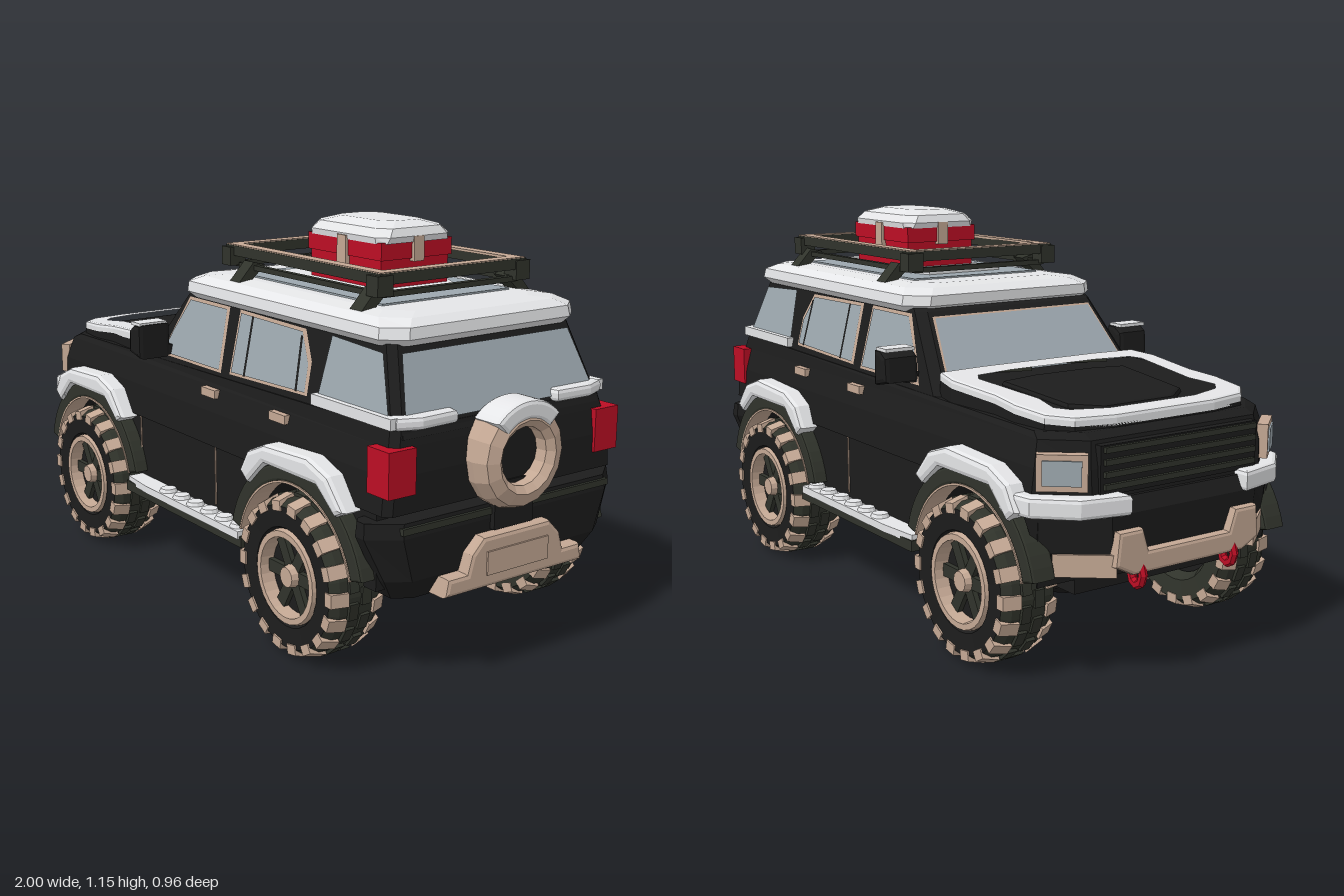
import * as THREE from 'three';

const M = (name, color, side = THREE.FrontSide) => {
  const m = new THREE.MeshStandardMaterial({ color, side });
  m.name = name;
  return m;
};
const black = M('black paint', 0x1c1c1c), olive = M('dark olive', 0x30332b), tan = M('tan trim', 0xc4a894);
const snow = M('snow', 0xebecee), glass = M('glass', 0x9ca7ae, THREE.DoubleSide), red = M('red', 0xbc0e24);

export function createModel() {
  const car = new THREE.Group();
  car.name = 'offRoader';

  // Facet a geometry and add it as a named mesh
  function add(name, geo, mat, parent = car) {
    const g = geo.index ? geo.toNonIndexed() : geo;
    g.computeVertexNormals();
    const mesh = new THREE.Mesh(g, mat);
    mesh.name = name;
    parent.add(mesh);
    return mesh;
  }
  // Add a part on the +z side and its mirror image on the -z side
  function both(name, geo, mat) {
    add(name + 'Left', geo, mat);
    const g = geo.index ? geo.toNonIndexed() : geo.clone();
    g.scale(1, 1, -1);
    const p = g.attributes.position;
    const a = new THREE.Vector3(), b = new THREE.Vector3();
    for (let i = 0; i < p.count; i += 3) {
      a.fromBufferAttribute(p, i + 1);
      b.fromBufferAttribute(p, i + 2);
      p.setXYZ(i + 1, b.x, b.y, b.z);
      p.setXYZ(i + 2, a.x, a.y, a.z);
    }
    add(name + 'Right', g, mat);
  }
  const box = (x0, x1, y0, y1, z0, z1) =>
    new THREE.BoxGeometry(x1 - x0, y1 - y0, z1 - z0).translate((x0 + x1) / 2, (y0 + y1) / 2, (z0 + z1) / 2);
  const shape = pts => new THREE.Shape(pts.map(p => new THREE.Vector2(p[0], p[1])));
  const extrude = (s, depth, bevel = 0) => new THREE.ExtrudeGeometry(s, {
    depth: depth - 2 * bevel, bevelEnabled: bevel > 0, bevelSize: bevel, bevelThickness: bevel,
    bevelOffset: -bevel, bevelSegments: 2, curveSegments: 12,
  }).translate(0, 0, bevel);
  // Extrusions of a side outline (x,y), a plan outline (x,z) and a cross outline (z,y)
  const sideExtrude = (s, z0, z1, bevel) => extrude(s, z1 - z0, bevel).translate(0, 0, z0);
  const planExtrude = (s, y0, y1, bevel) => extrude(s, y1 - y0, bevel).rotateX(Math.PI / 2).translate(0, y1, 0);
  const crossExtrude = (s, x0, x1, bevel) => extrude(s, x1 - x0, bevel).rotateY(Math.PI / 2).translate(x0, 0, 0);
  // Eight-cornered plan ring; yr is the height at the rear end
  const ring = (y, a, b, w, fx, fz, rx = 0.02, rz = 0.02, yr = y) => [
    [a + fx, y, w], [b - rx, yr, w], [b, yr, w - rz], [b, yr, rz - w],
    [b - rx, yr, -w], [a + fx, y, -w], [a, y, fz - w], [a, y, w - fz]];
  // Skin a stack of rings, bottom to top, with capped ends
  function loft(rings) {
    const n = rings[0].length, idx = [], top = (rings.length - 1) * n;
    for (let r = 0; r < rings.length - 1; r++) for (let i = 0; i < n; i++) {
      const a = r * n + i, b = r * n + (i + 1) % n;
      idx.push(a, b, a + n, b, b + n, a + n);
    }
    for (let i = 1; i < n - 1; i++) idx.push(0, i + 1, i, top, top + i, top + i + 1);
    const g = new THREE.BufferGeometry();
    g.setAttribute('position', new THREE.Float32BufferAttribute(rings.flat(2), 3));
    g.setIndex(idx);
    return g;
  }
  const moveVerts = (g, rule) => {
    const p = g.attributes.position, v = new THREE.Vector3();
    for (let i = 0; i < p.count; i++) {
      rule(v.fromBufferAttribute(p, i));
      p.setXYZ(i, v.x, v.y, v.z);
    }
    return g;
  };
  const AXLES = [-0.6, 0.565];

  // Lower body with wheel arches cut out
  const lower = new THREE.Shape();
  lower.moveTo(-0.86, 0.51);
  lower.lineTo(-0.86, 0.27);
  for (const x of AXLES) lower.absarc(x, 0.225, 0.26, Math.PI - 0.17, 0.17, true);
  lower.lineTo(0.87, 0.27);
  lower.lineTo(0.87, 0.51);
  add('lowerBody', sideExtrude(lower, -0.4, 0.4), black);
  add('underbody', box(-0.86, 0.86, 0.23, 0.5, -0.28, 0.28), black);

  // Upper body, cabin and bonnet
  add('upperBody', loft([ring(0.48, -0.94, 0.92, 0.41, 0.1, 0.12), ring(0.58, -0.935, 0.92, 0.402, 0.09, 0.11),
    ring(0.65, -0.92, 0.91, 0.382, 0.09, 0.1), ring(0.665, -0.89, 0.9, 0.37, 0.09, 0.09, 0.02, 0.02, 0.695)]), black);
  add('cabin', loft([ring(0.67, -0.357, 0.908, 0.3695, 0.03, 0.025), ring(0.89, -0.18, 0.82, 0.32, 0.03, 0.025),
    ring(0.93, -0.12, 0.79, 0.3, 0.03, 0.025)]), black);
  const slope = v => { v.y += 0.08 * (v.x + 0.88); };
  const mirrored = pts => [...pts, ...pts.map(([x, z]) => [x, -z]).reverse()];
  const bonnetOuter = [[-0.885, 0.17], [-0.865, 0.29], [-0.81, 0.345], [-0.7, 0.36], [-0.6, 0.35], [-0.42, 0.37], [-0.33, 0.35], [-0.32, 0.2]];
  const bonnetInner = [[-0.84, 0.15], [-0.81, 0.26], [-0.77, 0.295], [-0.68, 0.275], [-0.56, 0.29], [-0.44, 0.305], [-0.4, 0.28], [-0.385, 0.15]];
  add('bonnet', moveVerts(planExtrude(shape(mirrored(bonnetOuter)), 0.62, 0.675), slope), black);
  add('bonnetBulge', moveVerts(planExtrude(shape(mirrored([[-0.78, 0.12], [-0.72, 0.2], [-0.45, 0.22], [-0.43, 0.1]])),
    0.66, 0.69, 0.01), slope), black);
  const bonnetSnow = shape(mirrored(bonnetOuter));
  bonnetSnow.holes.push(shape(mirrored(bonnetInner)));
  add('bonnetSnow', moveVerts(planExtrude(bonnetSnow, 0.66, 0.7, 0.01), slope), snow);

  // Side windows with trim, laid on the sloping cabin sides
  const onCabin = (pts, off) => moveVerts(new THREE.ShapeGeometry(shape(pts)),
    v => { v.z = 0.365 - 0.225 * (v.y - 0.69) + off; });
  const windows = [
    [[-0.235, 0.7], [-0.2, 0.77], [-0.13, 0.875], [0.075, 0.875], [0.085, 0.7]],
    [[0.15, 0.705], [0.15, 0.875], [0.455, 0.87], [0.505, 0.79], [0.51, 0.715]],
    [[0.57, 0.72], [0.585, 0.88], [0.8, 0.87], [0.865, 0.72]]];
  windows.forEach((pts, i) => {
    both('sideWindow', onCabin(pts, 0.005), glass);
    if (i === 2) return;
    const cx = pts.reduce((s, p) => s + p[0], 0) / pts.length;
    both('windowTrim', onCabin(pts.map(([x, y]) => [x + Math.sign(x - cx) * 0.01, y + Math.sign(y - 0.78) * 0.008]), 0.002), tan);
  });
  both('windowDivider', onCabin([[0.215, 0.705], [0.225, 0.705], [0.22, 0.875], [0.21, 0.875]], 0.007), black);
  both('quarterDivider', onCabin([[0.468, 0.712], [0.478, 0.712], [0.463, 0.86], [0.453, 0.86]], 0.007), black);
  const pane = (x0, y0, z0, x1, y1, z1) => {
    const g = new THREE.BufferGeometry();
    g.setAttribute('position', new THREE.Float32BufferAttribute([x0, y0, -z0, x0, y0, z0, x1, y1, z1, x1, y1, -z1], 3));
    return g.setIndex([0, 1, 2, 0, 2, 3]);
  };
  add('windshield', pane(-0.328, 0.713, 0.318, -0.2, 0.873, 0.281), glass);
  add('windshieldTrim', pane(-0.331, 0.706, 0.324, -0.194, 0.877, 0.287), tan);
  add('rearWindow', pane(0.9, 0.705, 0.335, 0.833, 0.87, 0.295), glass);
  for (const z of [-0.14, 0.14]) add('wiper', box(-0.09, 0.09, -0.008, 0.008, -0.008, 0.008).rotateY(1.2).translate(-0.33, 0.73, z), olive);

  // Snow on the roof and ledges
  add('roofSnow', loft([ring(0.885, -0.15, 0.83, 0.325, 0.05, 0.05, 0.05, 0.05), ring(0.905, -0.18, 0.85, 0.345, 0.06, 0.06, 0.05, 0.06),
    ring(0.935, -0.18, 0.845, 0.34, 0.06, 0.06, 0.05, 0.06), ring(0.953, -0.14, 0.815, 0.31, 0.06, 0.06, 0.06, 0.06),
    ring(0.96, -0.09, 0.77, 0.26, 0.06, 0.06, 0.06, 0.06)]), snow);
  both('rearLedgeSnow', planExtrude(shape([[0.86, 0.165], [0.92, 0.18], [0.925, 0.3], [0.9, 0.365], [0.86, 0.365]]), 0.69, 0.727, 0.012), snow);
  both('quarterSnow', box(0.56, 0.895, 0.695, 0.725, 0.34, 0.38), snow);

  // Wheel arch flares with tan lips and snow
  const arc = (x, r0, r1, a0, a1) => {
    const s = new THREE.Shape();
    s.absarc(x, 0.225, r1, a0, a1, false);
    s.absarc(x, 0.225, r0, a1, a0, true);
    return s;
  };
  for (const x of AXLES) {
    both('wheelFlare', sideExtrude(arc(x, 0.262, 0.31, 0.25, Math.PI - 0.25), 0.37, 0.445, 0.008), olive);
    both('flareLip', sideExtrude(arc(x, 0.258, 0.264, 0.25, Math.PI - 0.25), 0.38, 0.446), tan);
    both('flareSnow', sideExtrude(shape([[x - 0.24, 0.47], [x - 0.2, 0.535], [x - 0.12, 0.57], [x + 0.08, 0.58], [x + 0.17, 0.55],
      [x + 0.24, 0.47], [x + 0.2, 0.45], [x + 0.12, 0.515], [x - 0.12, 0.515], [x - 0.2, 0.44]]), 0.36, 0.46, 0.016), snow);
  }

  // Wheels: lathed tyre, tread blocks, rim, spokes and hub
  const lathe = (pts, seg = 28) => new THREE.LatheGeometry(pts.map(p => new THREE.Vector2(p[0], p[1])), seg).rotateX(Math.PI / 2);
  // Tread block with its outer shoulder corner cut down
  const shoulder = (z0, z1) => moveVerts(box(0.185, 0.227, -0.019, 0.019, z0, z1),
    v => { if (v.x > 0.2 && v.z > 0.07) v.x -= 0.014; });
  function wheel() {
    const w = new THREE.Group();
    w.name = 'wheel';
    add('tread', lathe([[0.2, -0.084], [0.217, -0.06], [0.222, 0], [0.217, 0.06], [0.2, 0.084]]), olive, w);
    add('innerSidewall', lathe([[0.12, -0.05], [0.14, -0.08], [0.2, -0.084]]), olive, w);
    add('outerSidewall', lathe([[0.2, 0.084], [0.14, 0.08], [0.12, 0.04]]), black, w);
    add('rimDish', new THREE.CylinderGeometry(0.13, 0.13, 0.09, 24).rotateX(Math.PI / 2), black, w);
    add('rimRing', lathe([[0.134, 0.07], [0.13, 0.086], [0.113, 0.086], [0.108, 0.04]]), tan, w);
    add('hub', new THREE.CylinderGeometry(0.028, 0.038, 0.04, 12).rotateX(Math.PI / 2).translate(0, 0, 0.06), tan, w);
    for (let i = 0; i < 6; i++)
      add('spoke', box(0.03, 0.115, -0.018, 0.018, 0.04, 0.06).rotateZ(i * Math.PI / 3), olive, w);
    for (let i = 0; i < 18; i++) {
      const a = i * Math.PI / 9, half = a + Math.PI / 18;
      add('outerBlock', shoulder(0.038, 0.088).rotateZ(a), tan, w);
      add('innerBlock', shoulder(0.045, 0.086).rotateX(Math.PI).rotateZ(half), tan, w);
      for (const s of [-1, 1])
        add('centreBlock', box(0.21, 0.227, -0.024, 0.024, s * 0.02 - 0.015, s * 0.02 + 0.015).rotateZ(s > 0 ? half : a), olive, w);
    }
    return w;
  }
  for (const x of AXLES) {
    for (const s of [1, -1]) {
      const w = wheel();
      w.position.set(x, 0.227, s * 0.385);
      if (s < 0) w.rotation.y = Math.PI;
      car.add(w);
    }
    add('axle', new THREE.CylinderGeometry(0.05, 0.05, 0.66, 10).rotateX(Math.PI / 2).translate(x, 0.215, 0), olive);
    add('axleHousing', loft([ring(0.145, x - 0.05, x + 0.05, 0.17, 0.03, 0.03, 0.03, 0.03),
      ring(0.17, x - 0.08, x + 0.08, 0.21, 0.04, 0.04, 0.04, 0.04), ring(0.25, x - 0.13, x + 0.13, 0.25, 0.05, 0.05, 0.05, 0.05)]), black);
  }

  // Side steps, handles and door seams
  add('chassisRail', box(-0.4, 0.36, 0.215, 0.25, -0.25, 0.25), black);
  both('sideStep', box(-0.34, 0.33, 0.238, 0.27, 0.36, 0.455), olive);
  both('stepSnow', planExtrude(shape([[-0.335, 0.395], [-0.335, 0.45], [-0.2, 0.462], [0.32, 0.46], [0.32, 0.395]]), 0.262, 0.285), snow);
  for (let i = 0; i < 6; i++)
    both('stepSnowLump', new THREE.CylinderGeometry(0.024, 0.029, 0.012, 10).translate(-0.12 + i * 0.08, 0.29, 0.428), snow);
  for (const x of [0.08, 0.435]) both('doorHandle', box(x - 0.04, x + 0.035, 0.622, 0.647, 0.38, 0.402), tan);
  for (const x of [-0.33, 0.115]) both('doorSeam', box(x - 0.002, x + 0.002, 0.3, 0.5, 0.4, 0.404), tan);

  // Mirrors
  both('mirrorArm', box(-0.23, -0.19, 0.7, 0.73, 0.35, 0.4), black);
  both('mirror', sideExtrude(shape([[-0.255, 0.71], [-0.25, 0.78], [-0.22, 0.8], [-0.185, 0.8], [-0.185, 0.695]]), 0.37, 0.482, 0.015), black);
  both('mirrorSnow', box(-0.245, -0.19, 0.796, 0.806, 0.38, 0.474), snow);

  // Nose: grille, headlights, bumper, guard and tow hooks
  add('grille', box(-0.945, -0.92, 0.51, 0.64, -0.27, 0.27), black);
  for (let i = 0; i < 4; i++) add('grilleSlat', box(-0.955, -0.93, 0.525 + i * 0.032, 0.54 + i * 0.032, -0.26, 0.26), olive);
  const lamp = (t, h, w, off) => new THREE.BoxGeometry(t, h, w).translate(off, 0, 0)
    .rotateY(Math.atan2(-0.63, -0.77)).translate(-0.892, 0.575, 0.35);
  both('headlightFrame', lamp(0.03, 0.095, 0.13, 0.005), tan);
  both('headlightLens', lamp(0.008, 0.065, 0.1, 0.021), glass);
  add('frontBumper', loft([ring(0.28, -0.91, -0.82, 0.3, 0.06, 0.12), ring(0.36, -0.965, -0.835, 0.4, 0.11, 0.16),
    ring(0.46, -0.97, -0.835, 0.43, 0.13, 0.18), ring(0.5, -0.95, -0.83, 0.42, 0.13, 0.18)]), black);
  add('frontGuard', crossExtrude(shape([[-0.24, 0.42], [-0.25, 0.33], [-0.19, 0.3], [0.19, 0.3], [0.25, 0.33], [0.24, 0.42],
    [0.16, 0.42], [0.14, 0.36], [-0.14, 0.36], [-0.16, 0.42]]), -0.99, -0.92, 0.01), tan);
  both('guardWing', planExtrude(shape([[-0.98, 0.24], [-0.88, 0.37], [-0.86, 0.35], [-0.94, 0.22]]), 0.3, 0.36), tan);
  both('bumperSnow', planExtrude(shape([[-0.988, 0.2], [-0.958, 0.34], [-0.87, 0.435], [-0.77, 0.455], [-0.77, 0.4],
    [-0.85, 0.38], [-0.91, 0.31], [-0.93, 0.2]]), 0.458, 0.515, 0.012), snow);
  both('towHook', new THREE.TorusGeometry(0.023, 0.011, 6, 8).scale(1, 1.3, 1.2).translate(-0.966, 0.295, 0.16), red);

  // Tail: lights, bumper, step plate and spare wheel
  both('tailLight', box(0.842, 0.928, 0.53, 0.652, 0.322, 0.411), red);
  add('rearBumper', loft([ring(0.24, 0.8, 0.9, 0.35, 0.02, 0.02, 0.03, 0.05), ring(0.3, 0.83, 0.93, 0.39, 0.02, 0.02, 0.04, 0.06),
    ring(0.42, 0.82, 0.935, 0.445, 0.02, 0.02, 0.06, 0.08), ring(0.46, 0.82, 0.93, 0.44, 0.02, 0.02, 0.06, 0.08)]), black);
  add('bumperStrip', box(0.9, 0.94, 0.432, 0.45, -0.37, 0.37), olive);
  add('rearGuard', crossExtrude(shape([[-0.25, 0.245], [0.25, 0.245], [0.24, 0.295], [0.175, 0.295], [0.16, 0.345], [0.12, 0.385],
    [-0.12, 0.385], [-0.16, 0.345], [-0.175, 0.295], [-0.24, 0.295]]), 0.88, 0.968, 0.012), tan);
  add('rearGuardInset', box(0.96, 0.973, 0.28, 0.345, -0.11, 0.11), tan);
  add('spareMount', box(0.9, 0.95, 0.39, 0.52, -0.07, 0.07), black);
  const spare = lathe([[0.12, 0], [0.147, 0.02], [0.15, 0.06], [0.135, 0.098], [0.1, 0.112], [0.08, 0.095], [0.078, 0.04]], 16);
  add('spareWheel', spare.rotateY(Math.PI / 2).translate(0.885, 0.587, 0), tan);
  add('spareHub', new THREE.CylinderGeometry(0.082, 0.082, 0.05, 16).rotateZ(Math.PI / 2).translate(0.92, 0.595, 0), black);
  add('spareSnow', crossExtrude(arc(0, 0.1, 0.153, 0.75, Math.PI - 0.75), 0.9, 0.998, 0.012).translate(0, 0.362, 0), snow);

  // Roof rack: rails with tan caps, crossbars and feet
  both('rackSideRail', box(-0.035, 0.7, 1.02, 1.05, 0.225, 0.26), olive);
  both('rackSideCap', box(-0.033, 0.698, 1.046, 1.053, 0.222, 0.258), tan);
  both('rackLowerRail', box(0.02, 0.68, 0.985, 1.0, 0.232, 0.25), olive);
  for (const x of [-0.015, 0.68]) {
    add('rackEndRail', box(x - 0.02, x + 0.02, 1.02, 1.05, -0.26, 0.26), olive);
    add('rackEndCap', box(x - 0.018, x + 0.018, 1.046, 1.053, -0.222, 0.222), tan);
    add('rackLowerEndRail', box(x - 0.01, x + 0.01, 0.985, 1.0, -0.24, 0.24), olive);
    both('rackCorner', box(x - 0.024, x + 0.024, 0.99, 1.045, 0.22, 0.272), olive);
  }
  for (const x of [0.075, 0.65])
    both('rackFoot', crossExtrude(shape([[-0.305, 0.95], [-0.265, 0.95], [-0.21, 1.0], [-0.25, 1.01]]), x - 0.025, x + 0.025), olive);
  add('roofPanel', box(0, 0.67, 0.955, 0.965, -0.228, 0.228), glass);
  add('rackSnow', planExtrude(shape([[0.07, -0.13], [0.2, -0.16], [0.5, -0.15], [0.6, -0.1], [0.6, 0.1], [0.5, 0.15], [0.08, 0.14]]), 0.96, 0.975), snow);

  // Red case with latches and a snow cap
  add('caseBase', box(0.21, 0.53, 0.972, 1.053, -0.121, 0.121), red);
  add('caseLid', box(0.202, 0.538, 1.053, 1.102, -0.127, 0.127), red);
  both('caseLatch', box(0.35, 0.39, 1.02, 1.11, 0.12, 0.136), tan);
  for (const x of [0.202, 0.538]) add('endLatch', box(x - 0.01, x + 0.01, 1.045, 1.115, -0.018, 0.018), tan);
  add('caseSnow', loft([ring(1.098, 0.198, 0.542, 0.129, 0.025, 0.02, 0.025, 0.02), ring(1.115, 0.194, 0.546, 0.132, 0.03, 0.03, 0.03, 0.03),
    ring(1.138, 0.205, 0.535, 0.115, 0.04, 0.03, 0.04, 0.03), ring(1.153, 0.25, 0.49, 0.07, 0.04, 0.03, 0.04, 0.03)]), snow);

  return car;
}
